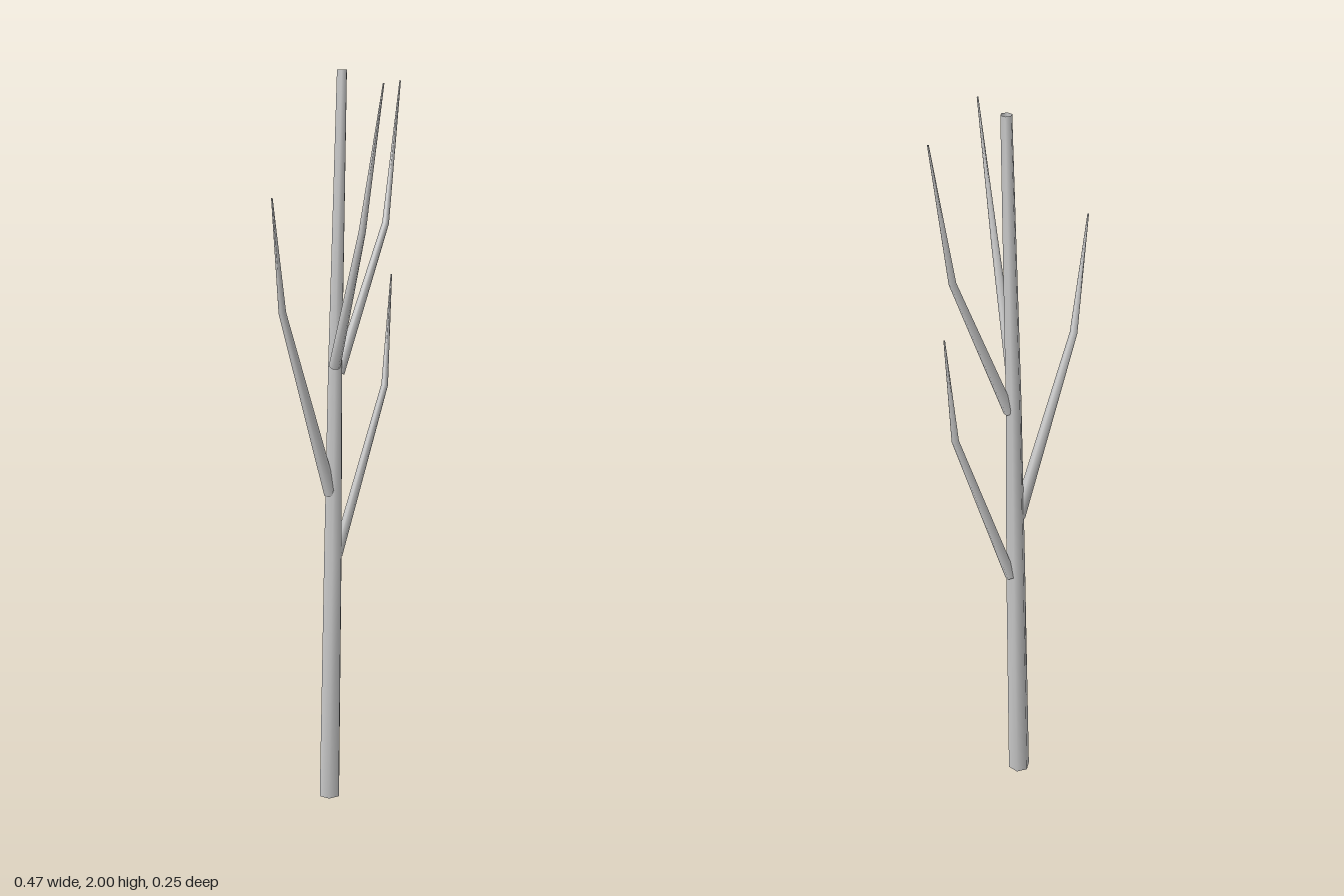
import * as THREE from 'three';

const material = new THREE.MeshStandardMaterial({ color: 0xcccccc, side: THREE.DoubleSide });
const SIDES = 6;

// Tapered limb: rings of [x, y, z, radius] joined into an open-ended tube.
function limb(name, rings, { level = false, twist = 0 } = {}) {
  const geometry = new THREE.CylinderGeometry(1, 1, 1, SIDES, rings.length - 1, true, twist);
  const centres = rings.map(([x, y, z]) => new THREE.Vector3(x, y, z));
  const up = new THREE.Vector3(0, 1, 0);
  const position = geometry.attributes.position;
  const v = new THREE.Vector3();
  const turn = new THREE.Quaternion();
  for (let i = 0; i < position.count; i++) {
    // cylinder rows run from top to bottom
    const k = rings.length - 1 - Math.floor(i / (SIDES + 1));
    const before = centres[Math.max(k - 1, 0)];
    const after = centres[Math.min(k + 1, rings.length - 1)];
    const along = after.clone().sub(before).normalize();
    turn.setFromUnitVectors(up, level ? up : along);
    v.fromBufferAttribute(position, i).setY(0).multiplyScalar(rings[k][3]);
    v.applyQuaternion(turn).add(centres[k]);
    position.setXYZ(i, v.x, v.y, v.z);
  }
  // smooth normals, shared across the seam
  geometry.computeVertexNormals();
  const normal = geometry.attributes.normal;
  const a = new THREE.Vector3();
  const b = new THREE.Vector3();
  for (let r = 0; r < rings.length; r++) {
    const first = r * (SIDES + 1);
    a.fromBufferAttribute(normal, first);
    b.fromBufferAttribute(normal, first + SIDES);
    a.add(b).normalize();
    normal.setXYZ(first, a.x, a.y, a.z);
    normal.setXYZ(first + SIDES, a.x, a.y, a.z);
  }
  const mesh = new THREE.Mesh(geometry, material);
  mesh.name = name;
  return mesh;
}

export function createModel() {
  const tree = new THREE.Group();
  tree.name = 'bareTree';

  // Slightly leaning trunk
  tree.add(limb('trunk', [
    [-0.032, 0, -0.092, 0.031],
    [-0.014, 0.7, -0.094, 0.027],
    [-0.003, 1.24, -0.094, 0.021],
    [0.02, 2, -0.09, 0.0145],
  ], { level: true, twist: 0.3 }));

  // Branches: base, elbow and tip centres with radii
  const branches = {
    lowerLeftBranch: [[0.005, 0.7, -0.098, 0.015], [0.158, 1.16, -0.074, 0.0095], [0.191, 1.46, -0.085, 0.002]],
    upperLeftBranch: [[0.008, 1.21, -0.091, 0.015], [0.16, 1.6, -0.075, 0.0095], [0.231, 1.97, -0.097, 0.002]],
    rightBranch: [[-0.022, 0.88, -0.093, 0.018], [-0.178, 1.39, -0.099, 0.01], [-0.235, 1.69, -0.065, 0.002]],
    frontBranch: [[-0.013, 1.23, -0.085, 0.016], [-0.038, 1.6, 0.053, 0.0095], [-0.03, 1.97, 0.123, 0.002]],
  };
  for (const [name, rings] of Object.entries(branches)) tree.add(limb(name, rings));
  return tree;
}
